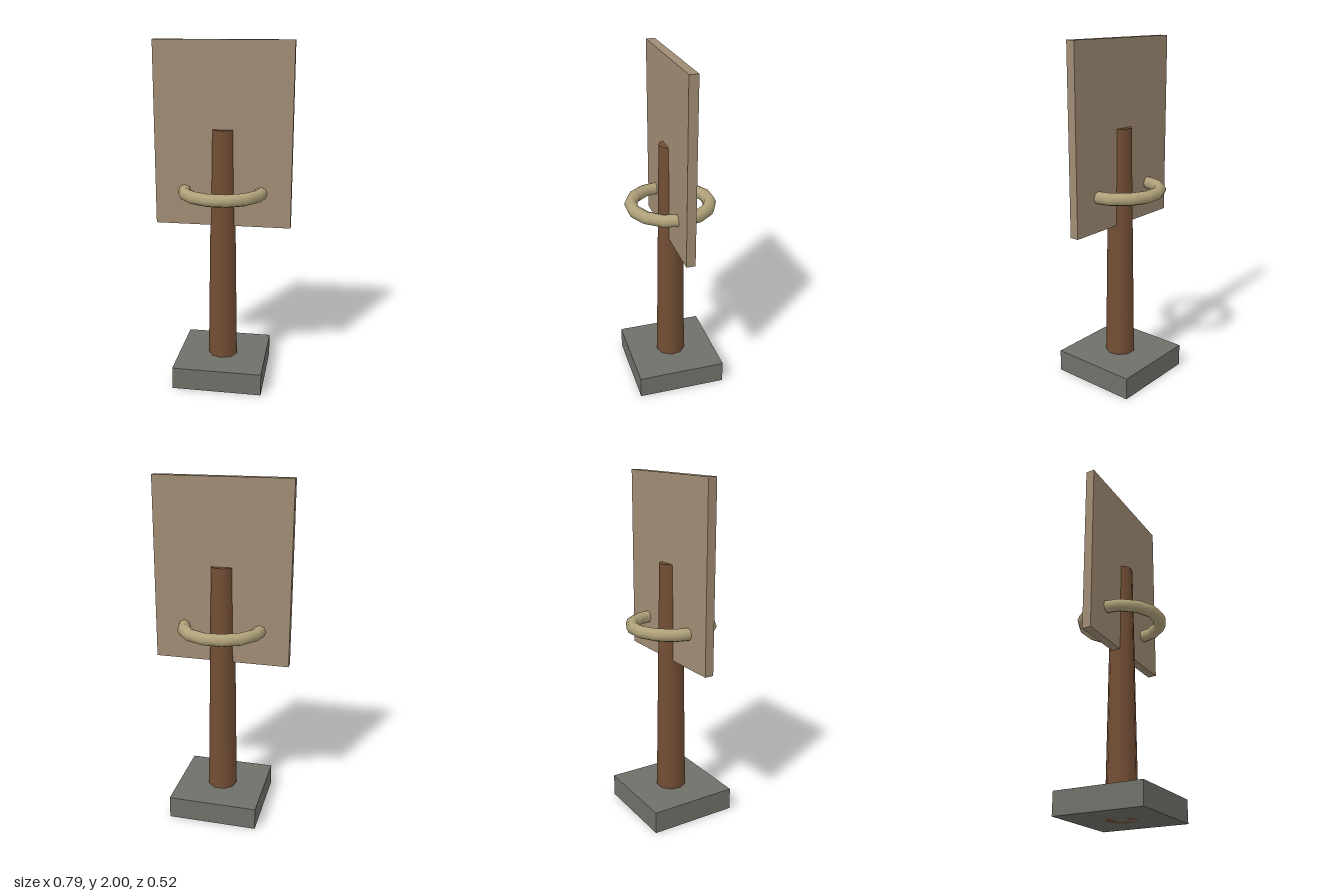
import * as THREE from 'three';

// Adds one named, coloured mesh to the group
function addPart(group, name, geometry, color, y) {
  const mesh = new THREE.Mesh(geometry, new THREE.MeshStandardMaterial({ color }));
  mesh.name = name;
  mesh.position.y = y;
  group.add(mesh);
  return mesh;
}

export function createModel() {
  const group = new THREE.Group();
  group.name = 'hoopStand';

  // Square stone foot
  addPart(group, 'base', new THREE.BoxGeometry(0.524, 0.131, 0.524), 0x70706a, 0.0655);

  // Tapered nine-sided post, running down through the foot
  addPart(group, 'post', new THREE.CylinderGeometry(0.067, 0.0905, 1.51, 9), 0x734e35, 0.755);

  // Upright board through which the post and ring pass
  addPart(group, 'board', new THREE.BoxGeometry(0.787, 1.048, 0.052), 0xa08c74, 1.476);

  // Horizontal ring around the post
  const ring = new THREE.TorusGeometry(0.227, 0.037, 8, 14).rotateX(Math.PI / 2);
  addPart(group, 'ring', ring, 0xb0a27a, 1.151);

  return group;
}
